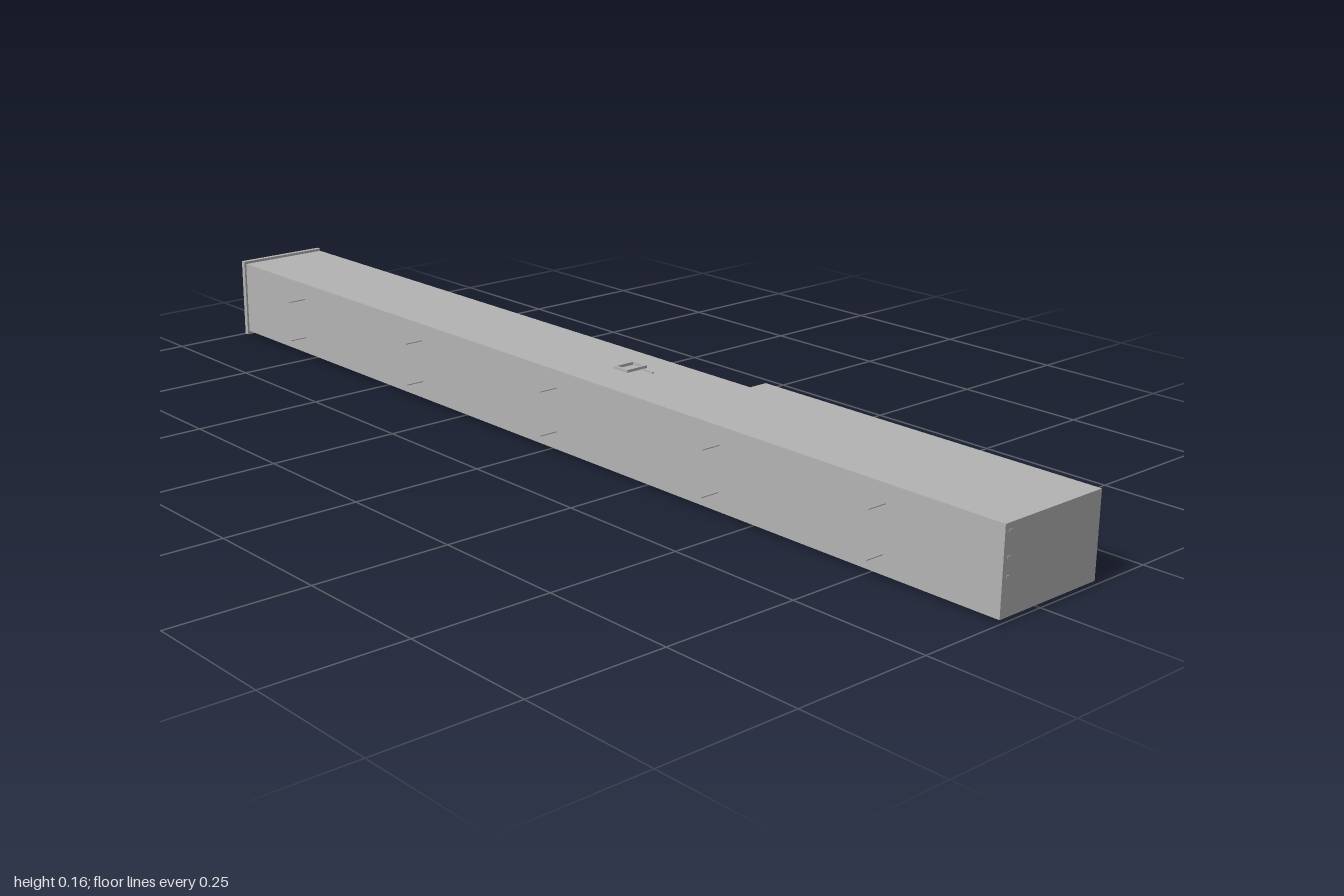
import * as THREE from 'three';

export function createModel() {
  const model = new THREE.Group();
  const grey = new THREE.MeshStandardMaterial({ color: 0xb4b4b4 });
  grey.name = 'plain grey';

  const add = (name, geometry, x = 0, y = 0, z = 0) => {
    const mesh = new THREE.Mesh(geometry, grey);
    mesh.name = name;
    mesh.position.set(x, y, z);
    model.add(mesh);
    return mesh;
  };

  // box given by its limits on each axis
  const block = (name, x0, x1, y0, y1, z0, z1) =>
    add(name, new THREE.BoxGeometry(x1 - x0, y1 - y0, z1 - z0),
      (x0 + x1) / 2, (y0 + y1) / 2, (z0 + z1) / 2);

  const rect = (target, a0, a1, b0, b1) => {
    target.moveTo(a0, b0);
    target.lineTo(a1, b0);
    target.lineTo(a1, b1);
    target.lineTo(a0, b1);
    target.closePath();
    return target;
  };

  // rectangular frame in the xy plane, extruded along z
  const frame = (outer, inner, depth) => {
    const shape = rect(new THREE.Shape(), ...outer);
    shape.holes.push(rect(new THREE.Path(), ...inner));
    return new THREE.ExtrudeGeometry(shape, { depth, bevelEnabled: false });
  };

  // hollow length of duct running along x; limits are z0, z1, y0, y1
  const duct = (name, x0, x1, outer, inner) => {
    const flip = ([z0, z1, y0, y1]) => [-z1, -z0, y0, y1];
    const geometry = frame(flip(outer), flip(inner), x1 - x0).rotateY(Math.PI / 2);
    return add(name, geometry, x0);
  };

  const bore = [-0.075, 0.077, 0.022, 0.137];

  // narrow and wide lengths, end plate and open-end collar
  duct('narrowBody', -0.99, 0.315, [-0.091, 0.093, 0.007, 0.152], bore);
  duct('wideBody', 0.315, 0.99, [-0.128, 0.093, 0.007, 0.152], bore);
  block('endPlate', 0.99, 1, 0.007, 0.152, -0.128, 0.093);
  duct('openEndCollar', -1, -0.99, [-0.091, 0.097, 0, 0.157], bore);

  // pairs of thin pins along the front
  for (const x of [-0.77, -0.37, 0.025, 0.43, 0.78]) {
    for (const y of [0.04, 0.12]) {
      const pin = new THREE.CylinderGeometry(0.0015, 0.0015, 0.037, 8).rotateX(Math.PI / 2);
      add('frontPin', pin, x, y, 0.1115);
    }
  }

  // raised rim and latch on the top
  add('topRim', frame([-0.018, 0.018, -0.023, 0.023], [-0.013, 0.013, -0.018, 0.018], 0.005)
    .rotateX(-Math.PI / 2), 0.1, 0.152, -0.012);
  block('topLatch', 0.125, 0.15, 0.152, 0.155, -0.022, -0.019);

  // three shallow covers underneath
  for (const x of [-0.65, -0.25, 0.09]) {
    block('bottomCover', x - 0.027, x + 0.027, 0.004, 0.007, -0.064, 0.014);
  }

  // small plate low on the back of the wide body
  block('backPlate', 0.317, 0.38, 0.01, 0.08, -0.129, -0.128);

  // small studs on the end plate
  for (const y of [0.07, 0.1, 0.14]) {
    block('endStud', 1, 1.001, y - 0.002, y + 0.002, 0.078, 0.084);
  }
  return model;
}
